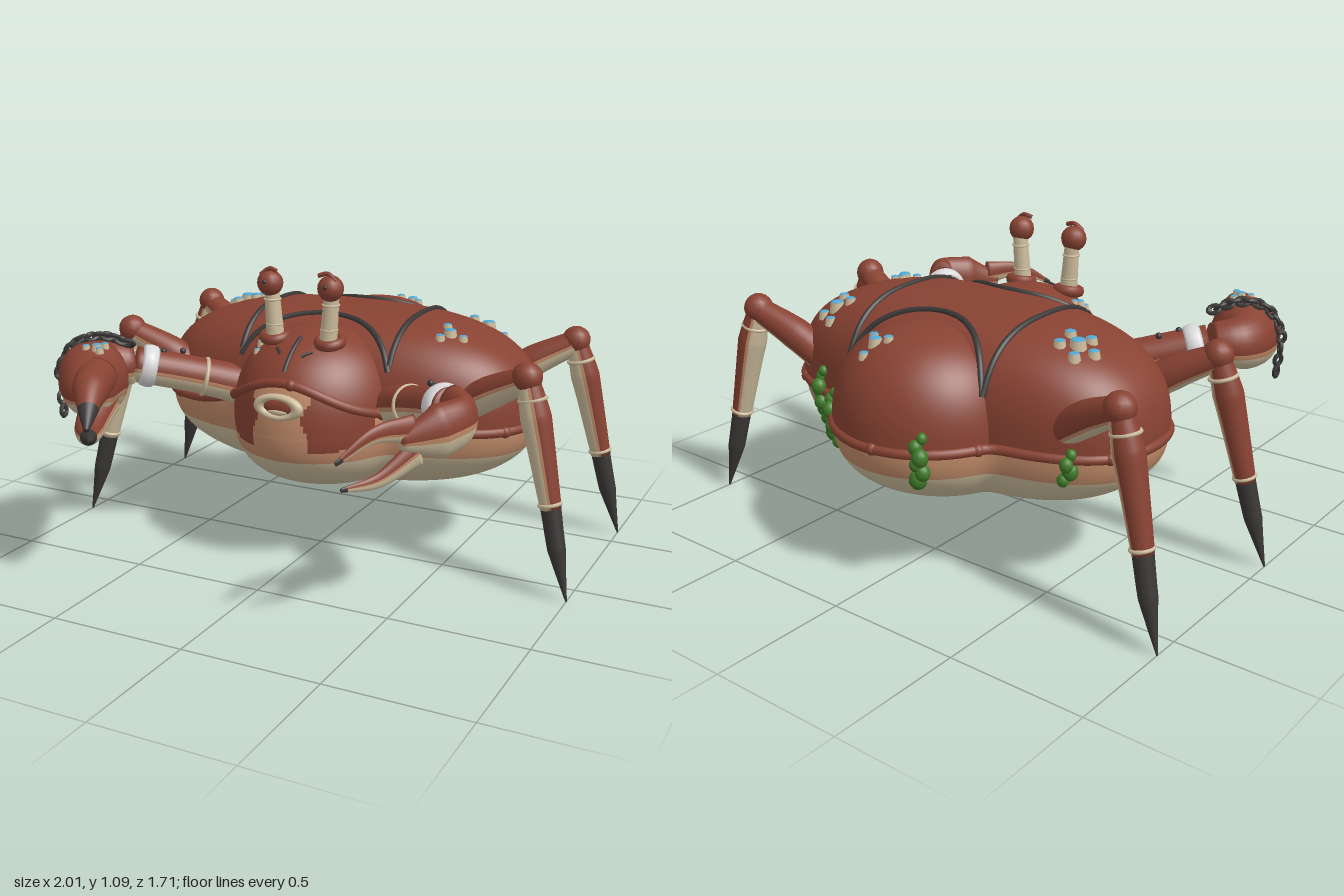
import * as THREE from 'three';

const mat = (name, color) => Object.assign(new THREE.MeshStandardMaterial({ color }), { name });
const shell = mat('shellRed', 0x884232), tan = mat('tan', 0xc08a68), cream = mat('cream', 0xcbbb9b);
const dark = mat('charcoal', 0x3b3737), blue = mat('blue', 0x4fa8d4), green = mat('green', 0x407a28), white = mat('white', 0xdadada);
const palette = [shell, tan, cream, dark];
const SHELL = 0, TAN = 1, CREAM = 2, DARK = 3;
const V = (x, y, z) => new THREE.Vector3(x, y, z);

function add(parent, name, geo, material, pos = [0, 0, 0], scale = [1, 1, 1]) {
  const m = new THREE.Mesh(geo, material);
  m.name = name;
  m.position.set(...pos);
  m.scale.set(...scale);
  parent.add(m);
  return m;
}

// Closed-around grid surface; paint(i, j, point) picks a palette index per cell
function gridSurface(rows, cols, point, paint) {
  const pos = [], buckets = palette.map(() => []);
  for (let i = 0; i <= rows; i++)
    for (let j = 0; j < cols; j++) pos.push(...point(i, j).toArray());
  for (let i = 0; i < rows; i++)
    for (let j = 0; j < cols; j++) {
      const k = (j + 1) % cols, a = i * cols + j, b = a + cols, c = i * cols + k, d = c + cols;
      const mid = point(i, j).add(point(i + 1, k)).multiplyScalar(0.5);
      buckets[paint(i, j, mid)].push(a, b, c, b, d, c);
    }
  const g = new THREE.BufferGeometry();
  g.setAttribute('position', new THREE.Float32BufferAttribute(pos, 3));
  g.setIndex(buckets.flat());
  let start = 0;
  buckets.forEach((b, i) => { if (b.length) g.addGroup(start, b.length, i); start += b.length; });
  g.computeVertexNormals();
  return g;
}

// Upper shell lobes: plan exponent p, vertical exponent q, all standing on the rim height
const MID = 0.52, CENTRE = -0.25;
const lobes = [
  { name: 'mainShell', z: -0.25, rx: 0.75, rz: 0.36, up: 0.37, p: 2.6, q: 2.8 },
  { name: 'rearShell', z: -0.52, rx: 0.34, rz: 0.32, up: 0.34, p: 1.95, q: 2.3 },
  { name: 'frontShell', z: 0.02, rx: 0.315, rz: 0.33, up: 0.34, p: 1.9, q: 2.3 },
];
const plan = (l, x, z) => Math.abs(x / l.rx) ** l.p + Math.abs((z - l.z) / l.rz) ** l.p;
const inside = p => lobes.some(l => plan(l, p.x, p.z) ** (l.q / l.p) + ((p.y - MID) / l.up) ** l.q < 1);
const topY = (x, z) => Math.max(...lobes.map(l =>
  MID + l.up * Math.max(0, 1 - plan(l, x, z) ** (l.q / l.p)) ** (1 / l.q)));
const rimY = (x, z) => MID + 0.19 * Math.exp(-((x / 0.29) ** 2)) * THREE.MathUtils.smoothstep(z, -0.04, 0.1);

// Point on the outline of the whole body in a plan direction
function outline(a, yOf) {
  const at = r => {
    const x = r * Math.cos(a), z = CENTRE + r * Math.sin(a);
    return V(x, yOf(x, z), z);
  };
  let r = 1;
  while (r > 0.1 && !inside(at(r))) r -= 0.01;
  for (let step = 0.005; step > 0.0002; step /= 2) if (inside(at(r + step))) r += step;
  return at(r);
}

// Whole outline as a ring, with the waists between the lobes softened
const COLS = 200;
function outlineRing(yOf) {
  let ring = Array.from({ length: COLS }, (_, j) => outline(j / COLS * Math.PI * 2, yOf));
  for (let pass = 0; pass < 8; pass++)
    ring = ring.map((p, j) => p.clone().multiplyScalar(2).add(ring[(j + 1) % COLS]).add(ring[(j + COLS - 1) % COLS]).multiplyScalar(0.25));
  return ring;
}

function paintBody(p) {
  if (p.y > rimY(p.x, p.z) - 0.01) return SHELL;
  const ax = Math.abs(p.x);
  if (p.z > 0.08 && p.y > 0.475 + 0.012 * Math.sin(ax * 30) && ax > 0.1 + 0.015 * Math.sin(p.y * 40) && ax < 0.285) return SHELL;
  return p.y > 0.43 ? TAN : CREAM;
}

function lobeGeometry(l) {
  const rows = 44, cols = 160;
  return gridSurface(rows, cols, (i, j) => {
    const f = i / rows * Math.PI / 2, a = j / cols * Math.PI * 2;
    const c = Math.cos(a), s = Math.sin(a), cf = Math.cos(f), sf = Math.sin(f);
    const r = (Math.abs(c) ** l.p + Math.abs(s) ** l.p) ** (-1 / l.p);
    const k = (Math.abs(cf) ** l.q + Math.abs(sf) ** l.q) ** (-1 / l.q);
    return V(l.rx * r * c * k * cf, MID + l.up * k * sf, l.z + l.rz * r * s * k * cf);
  }, (i, j, p) => paintBody(p));
}

// Underside: the outline shrinking towards the centre below, and rising to meet the rim above
function bellyGeometry(rim) {
  const below = 42, above = 10, q = 2.45, ring = outlineRing(() => MID);
  return gridSurface(below + above, COLS, (i, j) => {
    if (i > below) return ring[j].clone().lerp(rim[j], (i - below) / above);
    const f = (1 - i / below) * Math.PI / 2, cf = Math.cos(f), sf = Math.sin(f);
    const k = (Math.abs(cf) ** q + Math.abs(sf) ** q) ** (-1 / q);
    return V(ring[j].x * k * cf, MID - 0.28 * k * sf, CENTRE + (ring[j].z - CENTRE) * k * cf);
  }, (i, j, p) => paintBody(p));
}

// Tapered limb along points [x, y, z, radius], pale on one side, dark past tipAt
function limb(parent, name, pts, { pale = V(0, -1, 0), tipAt = 2, paleFrom = 0.25, tall = 1 } = {}) {
  const curve = new THREE.CatmullRomCurve3(pts.map(p => V(p[0], p[1], p[2])));
  const rows = 26, cols = 28, n = pts.length - 1;
  const geo = gridSurface(rows, cols, (i, j) => {
    const t = THREE.MathUtils.clamp((i - 1) / (rows - 2), 0, 1), k = Math.min(Math.floor(t * n), n - 1);
    const r = i === 0 || i === rows ? 0 : THREE.MathUtils.lerp(pts[k][3], pts[k + 1][3], t * n - k);
    const T = curve.getTangent(t), B = pale.clone().addScaledVector(T, -pale.dot(T)).normalize();
    const S = T.clone().cross(B), a = j / cols * Math.PI * 2;
    return curve.getPoint(t).addScaledVector(S, r * Math.cos(a)).addScaledVector(B, r * tall * Math.sin(a));
  }, (i, j) => {
    if ((i - 1) / (rows - 2) >= tipAt) return DARK;
    const side = Math.sin((j + 0.5) / cols * Math.PI * 2);
    return side > paleFrom ? CREAM : side > paleFrom - 0.22 ? TAN : SHELL;
  });
  return add(parent, name, geo, palette);
}

// Ring wrapped around a limb direction
function ring(parent, name, at, dir, radius, tube, material, stretch = 1) {
  const m = add(parent, name, new THREE.TorusGeometry(radius, tube, 8, 24), material, at, [1, 1, stretch]);
  m.quaternion.setFromUnitVectors(V(0, 0, 1), V(...dir).normalize());
  return m;
}
const ball = (parent, name, r, material, pos, scale) => add(parent, name, new THREE.SphereGeometry(r, 14, 10), material, pos, scale);
const tube = (parent, name, pts, r, material, closed = false) =>
  add(parent, name, new THREE.TubeGeometry(new THREE.CatmullRomCurve3(pts, closed), closed ? 180 : 30, r, 8, closed), material);

function barnacles(parent, x, y0, z, count, size) {
  for (let i = 0; i < count; i++) {
    const a = i * 2 * Math.PI / (count - 1) + x * 9, d = i ? size * 2.3 : 0, s = size * (i ? 0.8 : 1.1);
    const px = x + d * Math.cos(a), pz = z + d * Math.sin(a), y = y0 ?? topY(px, pz);
    add(parent, 'barnacle', new THREE.CylinderGeometry(s * 0.9, s * 1.15, s * 1.5, 10), cream, [px, y, pz]);
    ball(parent, 'barnacleTop', s * 0.87, blue, [px, y + s * 0.74, pz], [1, 0.25, 1]);
  }
}

export function createModel() {
  const crab = new THREE.Group();
  crab.name = 'crab';

  // Body and rim
  const rim = outlineRing(rimY);
  lobes.forEach(l => add(crab, l.name, lobeGeometry(l), palette));
  add(crab, 'belly', bellyGeometry(rim), palette);
  tube(crab, 'rim', rim, 0.018, shell, true);
  rim.filter((_, i) => i % 20 === 8).forEach(p => ball(crab, 'rimStud', 0.022, shell, p.toArray()));

  // Seams on the shell
  const onTop = (x, z) => V(x, topY(x, z) + 0.002, z);
  const steps = Array.from({ length: 21 }, (_, i) => i / 20);
  for (const s of [-1, 1]) {
    tube(crab, 'sideSeam', steps.map(t => onTop(s * 0.3, -0.59 + t * 0.65)), 0.011, dark);
    tube(crab, 'browMark', [0, 0.5, 1].map(t => onTop(s * (0.04 + 0.03 * t), 0.24 - 0.03 * t)), 0.006, dark);
  }
  const arc = (z, bend) => steps.map(t => onTop(0.6 * t - 0.3, z + bend * (1 - (2 * t - 1) ** 2)));
  tube(crab, 'rearSeam', arc(-0.59, 0.17), 0.011, dark);
  tube(crab, 'frontSeam', arc(0.07, -0.16), 0.011, dark);
  tube(crab, 'foreheadSeam', steps.map(t => onTop(0, 0.16 + t * 0.13)), 0.008, dark);

  // Mouth
  add(crab, 'lips', new THREE.TorusGeometry(0.06, 0.018, 10, 28), cream, [0, 0.628, 0.335], [1.25, 0.62, 1]);
  ball(crab, 'mouth', 0.06, shell, [0, 0.628, 0.333], [1.1, 0.5, 0.25]);
  ball(crab, 'lowerTeeth', 0.04, cream, [0, 0.612, 0.339], [1, 0.3, 0.3]);

  for (const s of [-1, 1]) {
    // Eyes on stalks
    const eye = new THREE.Group();
    eye.name = 'eye';
    crab.add(eye);
    ring(eye, 'eyeSocket', [s * 0.11, 0.835, 0.15], [0, 1, 0.2], 0.042, 0.017, shell, 1.2);
    const stalk = add(eye, 'eyeStalk', new THREE.CylinderGeometry(0.027, 0.033, 0.19, 18), cream, [s * 0.112, 0.91, 0.155]);
    stalk.rotation.z = -s * 0.08;
    for (const y of [0.88, 0.97]) ring(eye, 'stalkRing', [s * (0.112 + (y - 0.91) * 0.08), y, 0.155], [0, 1, 0], 0.029, 0.004, cream);
    ball(eye, 'eyeball', 0.047, shell, [s * 0.12, 1.03, 0.165]);
    ball(eye, 'pupil', 0.008, dark, [s * 0.12, 1.04, 0.209]);
    tube(eye, 'eyelid', [V(s * 0.08, 1.075, 0.18), V(s * 0.115, 1.083, 0.175), V(s * 0.15, 1.06, 0.18)], 0.008, shell);

    // Walking legs
    for (const [hip, knee, mid, tip] of [[-0.05, 0.045, 0.075, 0.105], [-0.46, -0.55, -0.575, -0.6]]) {
      const leg = new THREE.Group();
      leg.name = 'walkingLeg';
      crab.add(leg);
      limb(leg, 'upperLeg', [[s * 0.5, 0.57, hip, 0.06], [s * 0.66, 0.68, (hip + knee) / 2, 0.06], [s * 0.81, 0.76, knee, 0.045]], { pale: V(0, -1, 0.3), paleFrom: 0.4 });
      ball(leg, 'knee', 0.054, shell, [s * 0.805, 0.765, knee]);
      limb(leg, 'lowerLeg', [[s * 0.81, 0.75, knee, 0.04], [s * 0.845, 0.63, knee + (mid - knee) * 0.3, 0.054],
        [s * 0.92, 0.32, mid, 0.037]], { pale: V(-s, 0, 0.35) });
      const down = [s * 0.24, -1, (mid - knee) * 2];
      ring(leg, 'kneeRing', [s * 0.828, 0.69, knee], down, 0.047, 0.007, cream);
      ring(leg, 'ankleRing', [s * 0.916, 0.335, mid], down, 0.037, 0.007, cream);
      limb(leg, 'legTip', [[s * 0.918, 0.33, mid, 0.036], [s * 0.952, 0.18, (mid + tip) / 2, 0.032], [s * 1, 0, tip, 0.003]], { tipAt: -1 });
    }

    // Claw arms
    limb(crab, 'clawArm', [[s * 0.3, 0.6, 0.05, 0.075], [s * 0.45, 0.65, 0.16, 0.068], [s * 0.63, 0.7, 0.29, 0.067]]);
    ring(crab, 'armRing', [s * 0.42, 0.64, 0.14], [s * 0.17, 0.05, 0.13], 0.068, 0.008, cream);
    ring(crab, 'armBand', [s * 0.59, 0.69, 0.258], [s * 0.17, 0.05, 0.13], 0.067, 0.014, white, 2.2);
    for (const t of [0, 1]) ball(crab, 'armStud', 0.012, dark, [s * (0.5 + t * 0.04), 0.735 + t * 0.01, 0.16 + t * 0.07]);
  }

  // Large claw on the right
  const big = new THREE.Group();
  big.name = 'largeClaw';
  crab.add(big);
  limb(big, 'palm', [[-0.64, 0.70, 0.29, 0.07], [-0.71, 0.70, 0.36, 0.09], [-0.665, 0.69, 0.5, 0.128], [-0.59, 0.68, 0.63, 0.085], [-0.56, 0.67, 0.67, 0.04]], { tall: 1.08, paleFrom: 0.45 });
  limb(big, 'upperFinger', [[-0.6, 0.72, 0.57, 0.075], [-0.53, 0.71, 0.7, 0.062], [-0.445, 0.625, 0.845, 0.01]], { tipAt: 0.74, paleFrom: 0.7 });
  limb(big, 'lowerFinger', [[-0.61, 0.62, 0.54, 0.07], [-0.56, 0.56, 0.68, 0.05], [-0.46, 0.575, 0.81, 0.008]], { tipAt: 0.74, paleFrom: 0 });
  barnacles(big, -0.62, 0.815, 0.53, 4, 0.017);

  // Chain over the large claw
  const chain = new THREE.CatmullRomCurve3([V(-0.6, 0.8, 0.37), V(-0.67, 0.83, 0.42), V(-0.75, 0.81, 0.48), V(-0.8, 0.72, 0.51), V(-0.79, 0.56, 0.52)]);
  for (let i = 0; i < 15; i++) {
    const t = i / 14, link = add(big, 'chainLink', new THREE.TorusGeometry(0.015, 0.008, 6, 12), dark, chain.getPoint(t).toArray(), [1, 1.3, 1]);
    link.quaternion.setFromUnitVectors(V(0, 1, 0), chain.getTangent(t));
    link.rotateY(i % 2 * Math.PI / 2);
  }

  // Small slender claw on the left
  const small = new THREE.Group();
  small.name = 'smallClaw';
  crab.add(small);
  limb(small, 'palm', [[0.63, 0.70, 0.29, 0.05], [0.695, 0.69, 0.365, 0.05], [0.65, 0.67, 0.465, 0.058], [0.565, 0.65, 0.57, 0.02]], { tall: 1.6 });
  limb(small, 'upperFinger', [[0.59, 0.69, 0.53, 0.024], [0.512, 0.69, 0.65, 0.014], [0.435, 0.62, 0.77, 0.004]], { tipAt: 0.9, tall: 2, paleFrom: 0.5 });
  limb(small, 'lowerFinger', [[0.6, 0.61, 0.52, 0.026], [0.522, 0.54, 0.64, 0.014], [0.445, 0.53, 0.75, 0.004]], { tipAt: 0.9, tall: 1.8, paleFrom: 0 });

  // Barnacle clusters on the shell
  for (const [x, z, n, s] of [[-0.5, -0.34, 6, 0.026], [0.08, -0.68, 4, 0.021], [0.49, -0.45, 5, 0.024], [0.46, -0.12, 4, 0.021], [-0.17, 0.14, 3, 0.015]])
    barnacles(crab, x, null, z, n, s);

  // Seaweed hanging over the rear rim: position, top height, number of leaves
  for (const [x, z, top, n] of [[-0.2, -0.8, 0.58, 6], [0.28, -0.7, 0.6, 7], [0.5, -0.59, 0.6, 7], [-0.61, -0.53, 0.54, 4]]) {
    const a = Math.atan2(z - CENTRE, x), weed = new THREE.Group(), p = outline(a, () => MID);
    weed.name = 'seaweed';
    crab.add(weed);
    for (let i = 0; i < n; i++) {
      const y = top - i * 0.03, out = 0.02 - Math.abs(y - MID) * 0.32, side = (i % 2 - 0.5) * 0.02;
      ball(weed, 'leaf', 0.018 + 0.004 * (i % 3) + 0.001 * i, green,
        [p.x + Math.cos(a) * out - Math.sin(a) * side, y, p.z + Math.sin(a) * out + Math.cos(a) * side], [1, 1.15, 1]);
    }
  }
  return crab;
}
